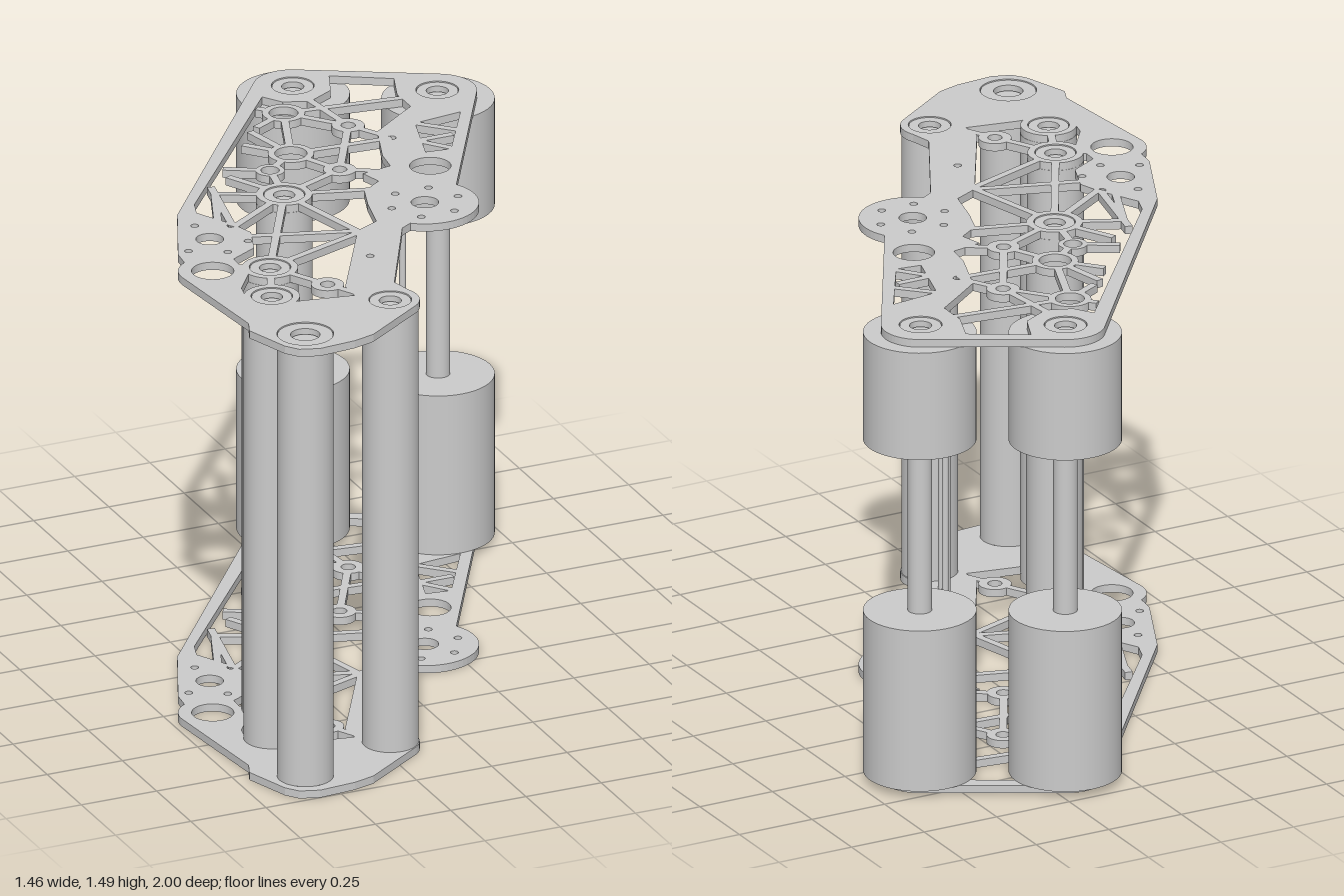
import * as THREE from 'three';

const T = 0.025, TOP = 1.46, U = 0.01; // plate thickness, upper plate height, plan unit
const mat = new THREE.MeshStandardMaterial({ color: 0xcccccc });

// Plan points are (x, z) in hundredths.
const vec = ([x, z]) => new THREE.Vector2(x * U, z * U);

function arc(cx, cz, r, from, to, n = 14) {
  return Array.from({ length: n + 1 }, (_, i) => {
    const a = THREE.MathUtils.degToRad(from + ((to - from) * i) / n);
    return [cx + r * Math.cos(a), cz + r * Math.sin(a)];
  });
}

function circlePath(x, z, r) {
  return new THREE.Path().absarc(x * U, z * U, r * U, 0, Math.PI * 2, false);
}

// Extrudes a plan shape upward from y = 0
function slab(shape, depth = T) {
  const g = new THREE.ExtrudeGeometry(shape, { depth, bevelEnabled: false, curveSegments: 28 });
  return g.rotateX(Math.PI / 2).translate(0, depth, 0);
}

function add(parent, name, geometry, y = 0) {
  const m = new THREE.Mesh(geometry, mat);
  m.name = name;
  m.position.y = y;
  parent.add(m);
  return m;
}

function ring(x, z, outer, inner, depth = T) {
  const s = new THREE.Shape().absarc(x * U, z * U, outer * U, 0, Math.PI * 2, false);
  s.holes.push(circlePath(x, z, inner));
  return slab(s, depth);
}

const outline = [
  [-66, 94], [-63, 98], [-57, 100], [-45, 99], [-38, 97],
  ...arc(-23, 75, 9.5, 60, -25),
  [-16, 64], [3, 28],
  ...arc(17.2, 13.2, 16.4, 130, -30, 24),
  ...arc(55.5, -62, 12, 30, -60),
  ...arc(17, -83, 12, -60, -140),
  [-55, -9], [-67, 18],
  ...arc(-62.5, 33.5, 10.5, -120, -185),
  [-69, 74], [-71, 79], [-69, 85],
];

// Large opening crossed by the truss
const mainWindow = [
  [-49, -8], [-47, -14], [5, -79], [9, -73], [17, -70], [26, -75], [30, -85], [47, -75],
  [43, -64], [43, -54], [35, -48], [26, -41], [20, -24], [19, -16], [9, -14], [11, -7],
  [4, -2], [1, 7], [-2, 20], [-10, 24], [-31, 61], [-31, 68], [-47, 65], [-60, 64],
  [-62, 58], [-60, 49], [-53.5, 40], [-53, 28], [-44, 23], [-40, 12], [-44, 2],
];
const sideWindow = [[39, -42], [55, -44], [41, -20], [33, -21]];

// Round holes: x, z, radius
const holes = [
  [-62.5, 33.5, 6.4], [30, -11, 6.3], [17.2, 13.2, 4.2], [-53.5, 11.5, 4.2],
  [-14.5, 43, 1.2], [28, -35, 1.4],
  [-53.5, 0.5, 1.2], [-43.5, 5, 1.2], [-43.5, 17.5, 1.2], [-63, 17, 1.2], [-52.5, 22.5, 1.2],
  ...arc(17.2, 13.2, 11, 0, 300, 5).map(([x, z]) => [x, z, 1.2]),
];

// Bearings set in the solid parts of the plate: x, z, hole radius
const plateBearings = [[17, -83, 6.5], [55.5, -62, 6.5], [-22.5, 75.3, 6.5], [-56.5, 88, 8.6]];

// Truss nodes: x, z, outer radius, hole radius
const nodes = {
  mid: [-19, -10, 8.5, 6.3], low: [-45.5, 38, 8.5, 6.3], tail: [-54, 58, 8.5, 6.3],
  big: [-4.5, -37, 7, 4.9], upper: [20, -49, 5, 2.2], small: [4, -20, 5, 2.2],
  pin: [-35, 57, 5, 2.2], eye: [-15.5, -28, 4.4, 2.8], rim: [6, -65.5, 6.5, 4.4],
};

const struts = [
  ['mid', [-10, 25]], ['mid', [-43, 6]], ['mid', [8, -2]], ['mid', [-29, -29]], ['mid', [-38, -19]],
  ['mid', 'low'], ['mid', 'small'], ['mid', 'eye'], ['eye', 'big'], ['eye', [-28, -35]],
  ['big', [-15, -49]], ['big', 'rim'], ['big', [28, -35]], ['big', 'small'],
  ['small', 'upper'], ['small', [16, -13]], ['upper', [27, -37]], ['upper', 'rim'],
  ['upper', [17, -72]], ['rim', [44, -61]], ['rim', [0, -72]], ['rim', [-6, -59]], ['big', [-9, -57]],
  ['low', [-9, 25]], ['low', [-55, 33]], ['low', 'tail'], ['low', 'pin'],
  ['tail', [-62, 62]], ['tail', [-62, 54]], ['tail', [-53, 66]], ['pin', [-28, 70]],
  [[-42, 14], [-11, 24]], [[-43, 5], [-37, -24]], [[-46, 1], [-38, -19]],
  [[38, -43], [50, -31]], [[34, -30], [46, -30]], [[34, -30], [42, -20]],
];

function strutGeometry(a, b, width = 0.024) {
  const p = vec(nodes[a] ?? a), q = vec(nodes[b] ?? b);
  const d = q.clone().sub(p).normalize();
  if (nodes[a]) p.addScaledVector(d, (nodes[a][2] - 0.8) * U);
  if (nodes[b]) q.addScaledVector(d, -(nodes[b][2] - 0.8) * U);
  const g = new THREE.BoxGeometry(p.distanceTo(q), T, width);
  g.rotateY(-Math.atan2(d.y, d.x));
  return g.translate((p.x + q.x) / 2, T / 2, (p.y + q.y) / 2);
}

function sidePlate(name) {
  const g = new THREE.Group();
  g.name = name;
  const shape = new THREE.Shape(outline.map(vec));
  for (const w of [mainWindow, sideWindow]) shape.holes.push(new THREE.Path(w.map(vec)));
  for (const h of [...holes, ...plateBearings]) shape.holes.push(circlePath(...h));
  add(g, 'plateFrame', slab(shape));
  for (const [a, b] of struts) add(g, 'strut', strutGeometry(a, b));
  for (const n of Object.values(nodes)) add(g, 'trussRing', ring(...n));
  // Bearing rings sit slightly recessed in their seats
  const seats = [...plateBearings, ...['mid', 'low', 'tail'].map((k) => [nodes[k][0], nodes[k][1], nodes[k][3]])];
  for (const [x, z, r] of seats) add(g, 'bearing', ring(x, z, r - 0.2, r * 0.52, T - 0.006), 0.003);
  return g;
}

function createModel() {
  const model = new THREE.Group();
  model.name = 'rollerFrame';

  const lower = sidePlate('lowerPlate');
  const upper = sidePlate('upperPlate');
  upper.position.y = TOP;
  model.add(lower, upper);

  const column = (name, x, z, r, y0, y1) => add(model, name,
    new THREE.CylinderGeometry(r, r, y1 - y0, 48).translate(x * U, (y0 + y1) / 2, z * U));

  // Full-length rollers
  for (const [x, z] of [[-56.5, 88], [-22.5, 75.3], [-54, 58], [-45.5, 38], [-19, -10]])
    column('roller', x, z, 0.086, T, TOP);

  // Thin tie rods
  for (const [x, z] of [[28.5, -28], [-9.2, 40], [-19, 61.5]]) column('tieRod', x, z, 0.01, T, TOP);

  // Wheel pairs on their shafts
  for (const [x, z] of [[17, -82.8], [55.5, -61.5]]) {
    column('lowerWheel', x, z, 0.172, T, 0.55);
    column('upperWheel', x, z, 0.172, 1.11, TOP);
    column('wheelShaft', x, z, 0.037, 0.55, 1.11);
  }
  return model;
}

export { createModel };
